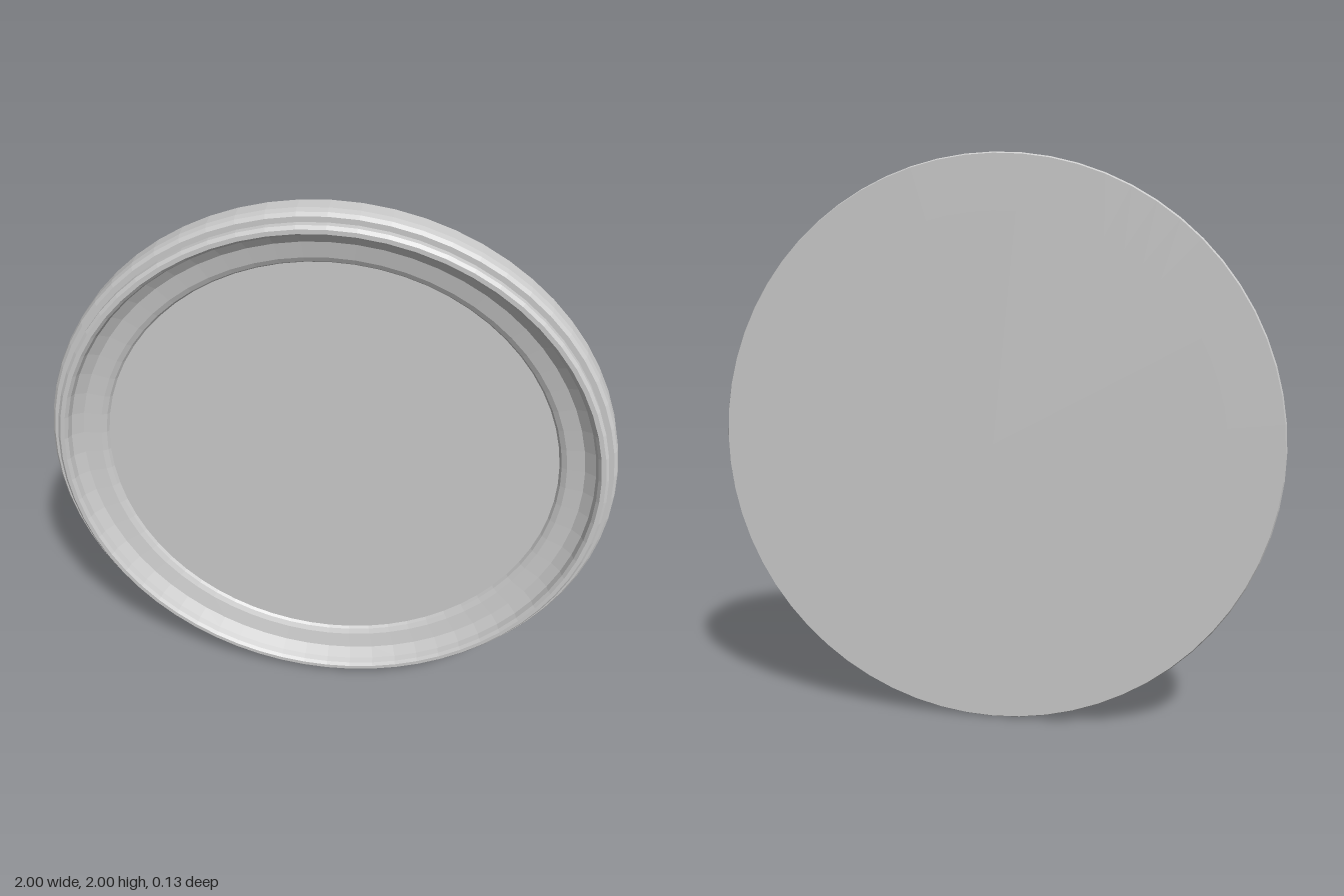
import * as THREE from 'three';

const SIDES = 64;
const BACK = -0.065;
const PANEL_FRONT = -0.025;
const INNER = 0.805;

export function createModel() {
  const group = new THREE.Group();
  const material = new THREE.MeshStandardMaterial({ color: 0xcccccc, flatShading: true });

  // Round moulding: [radius, depth], from the outer back edge over the front to the panel
  const profile = [
    [INNER, BACK], [0.995, BACK], [1, -0.055], [1, 0], [0.995, 0.022], [0.985, 0.034],
    [0.967, 0.034], [0.967, 0.055], [0.957, 0.065], [0.942, 0.065], [0.932, 0.055],
    [0.925, 0.035], [0.89, 0.008], [0.83, -0.005], [0.812, -0.015], [INNER, PANEL_FRONT],
  ].map(([r, z]) => new THREE.Vector2(r, z));
  const rimGeometry = new THREE.LatheGeometry(profile, SIDES);
  rimGeometry.rotateX(Math.PI / 2);
  const rim = new THREE.Mesh(rimGeometry, material);
  rim.name = 'rim';

  // Flat disc filling the moulding, flush with its back
  const panelGeometry = new THREE.CylinderGeometry(INNER, INNER, PANEL_FRONT - BACK, SIDES);
  panelGeometry.rotateX(Math.PI / 2);
  const panel = new THREE.Mesh(panelGeometry, material);
  panel.name = 'panel';
  panel.position.z = (PANEL_FRONT + BACK) / 2;

  group.add(rim, panel);
  for (const part of group.children) part.position.y = 1;
  return group;
}
